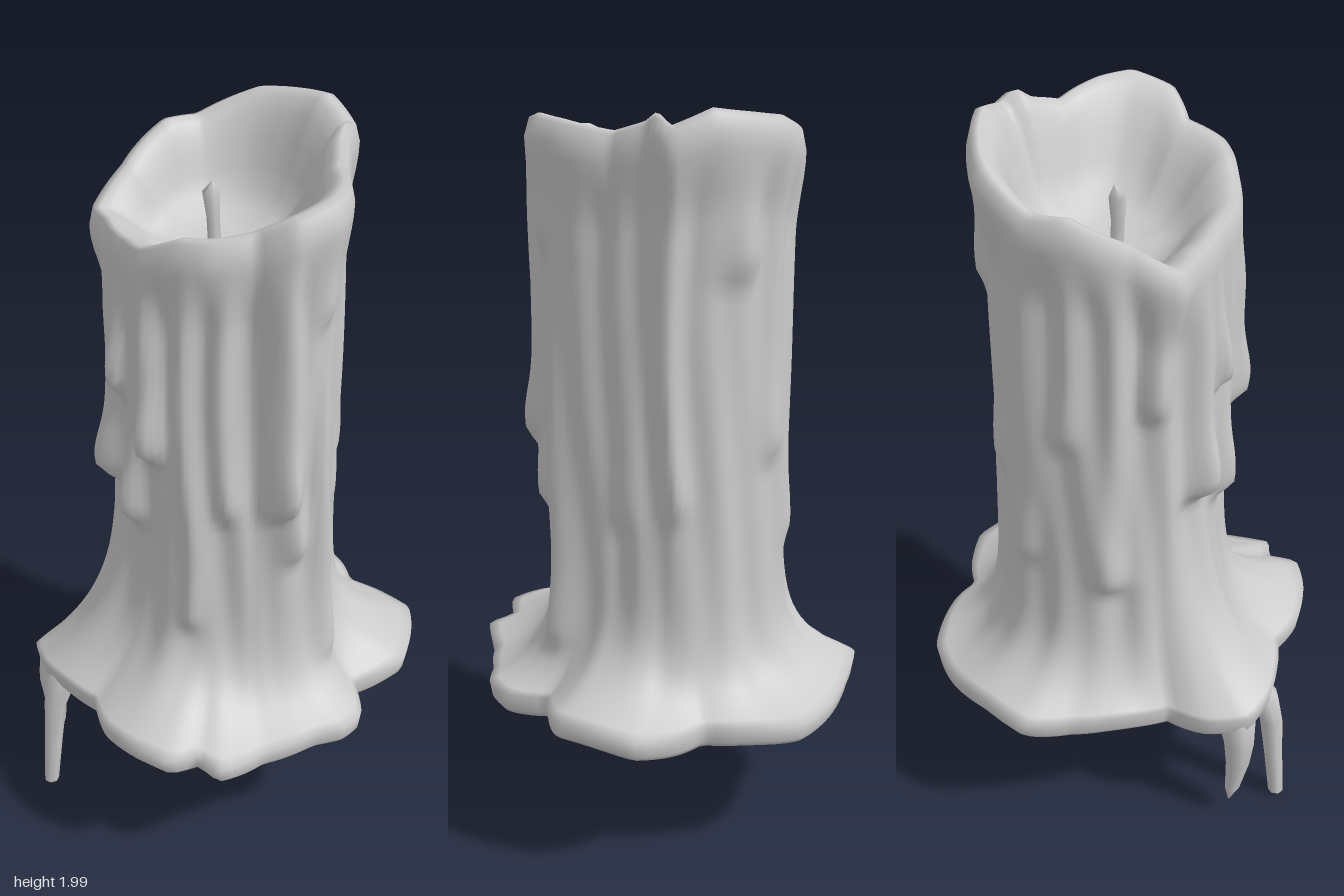
import * as THREE from 'three';

const CZ = -0.03; // z of the candle's axis
const material = new THREE.MeshStandardMaterial({ color: 0xcccccc, side: THREE.DoubleSide });
const lerp = THREE.MathUtils.lerp;
const smooth = THREE.MathUtils.smoothstep;
const TAU = Math.PI * 2;

// Outlines as [x, z] seen from above
const SKIRT = [[0.535, -0.07], [0.48, 0.16], [0.33, 0.22], [0.33, 0.35], [0.28, 0.4], [0.2, 0.415], [0.05, 0.46],
  [-0.08, 0.525], [-0.13, 0.47], [-0.21, 0.5], [-0.3, 0.43], [-0.37, 0.33], [-0.39, 0.22], [-0.47, 0.13],
  [-0.52, 0.05], [-0.54, -0.05], [-0.46, -0.14], [-0.36, -0.18], [-0.28, -0.35], [-0.22, -0.42], [-0.14, -0.52],
  [0, -0.53], [0.13, -0.52], [0.28, -0.46], [0.38, -0.29], [0.39, -0.22], [0.46, -0.17]];
// Top rim as [x, z, height]
const RIM = [[0.345, -0.12, 1.95], [0.3, -0.22, 1.99], [0.22, -0.31, 1.97], [0.13, -0.37, 1.95], [-0.04, -0.37, 1.88],
  [-0.13, -0.33, 1.89], [-0.25, -0.22, 1.82], [-0.335, -0.13, 1.75], [-0.31, -0.05, 1.76], [-0.27, 0.08, 1.77],
  [-0.24, 0.17, 1.79], [-0.15, 0.25, 1.85], [-0.08, 0.285, 1.86], [0.04, 0.28, 1.87], [0.13, 0.315, 1.92],
  [0.24, 0.27, 1.945], [0.28, 0.19, 1.94], [0.29, 0.05, 1.92], [0.31, -0.04, 1.95], [0.33, -0.08, 1.98]];

// Wax runs: [angle in degrees, lower end, half width in degrees, thickness]
const DRIPS = [[69, 1.04, 8, 0.055], [54, 1.58, 13, 0.035], [61, 0.88, 6, 0.035], [48, 0.52, 7, 0.03],
  [138, 1.17, 8, 0.06], [150, 0.93, 8, 0.05], [164, 1.3, 8, 0.06], [176, 1.0, 10, 0.075], [97, 1.02, 6, 0.025],
  [116, 0.66, 6, 0.025], [15, 0.88, 7, 0.015], [-16, 0.93, 6, 0.02], [-45, 1.55, 12, 0.025], [225, 0.75, 8, 0.035],
  [205, 1.3, 8, 0.03], [250, 1.2, 7, 0.025], [272, 0.8, 7, 0.02], [292, 1.05, 7, 0.025]];

// Turns an outline into a function of angle that returns [radius, height]
function polar(points) {
  const p = points.map(([x, z, h = 0]) => [(Math.atan2(z - CZ, x) + TAU) % TAU, Math.hypot(x, z - CZ), h])
    .sort((a, b) => a[0] - b[0]);
  const first = p[0], last = p[p.length - 1];
  p.push([first[0] + TAU, first[1], first[2]]);
  p.unshift([last[0] - TAU, last[1], last[2]]);
  return (a) => {
    let i = 0;
    while (i < p.length - 2 && p[i + 1][0] < a) i++;
    const t = (a - p[i][0]) / (p[i + 1][0] - p[i][0]);
    return [lerp(p[i][1], p[i + 1][1], t), lerp(p[i][2], p[i + 1][2], t)];
  };
}
const skirtAt = polar(SKIRT), rimAt = polar(RIM);

function angleGap(a, b) {
  return Math.atan2(Math.sin(a - b), Math.cos(a - b));
}

// Thickness of the wax runs, each swelling at its lower end
function dripDepth(a, y) {
  let sum = 0;
  for (const [deg, end, width, depth] of DRIPS) {
    const swell = 0.8 + 0.35 * Math.exp(-(((y - end - 0.09) / 0.1) ** 2));
    const wander = 0.04 * Math.sin(6 * y + deg);
    const across = Math.exp(-((angleGap(a + wander, deg * Math.PI / 180) / (width * Math.PI / 180)) ** 2));
    sum = Math.max(sum, depth * swell * across * smooth(y, end - 0.03, end + 0.05));
  }
  return sum;
}

// Radius of the outer wall, flaring into the pool at its foot
function wallRadius(a, y, foot, top) {
  const [skirt] = skirtAt(a), [rim] = rimAt(a);
  const flow = Math.exp(-((angleGap(a, Math.PI) / 0.6) ** 2));
  const below = smooth(top - y, 0, 0.22);
  const flutes = 0.006 * Math.sin(9 * a + 1.5 * y) + 0.005 * Math.sin(17 * a + 2 * Math.sin(3 * y));
  // the shaft is rounder than the rim
  const body = lerp(rim, 0.31, 0.4) - 0.025 - 0.025 * flow + flutes + dripDepth(a, y);
  const shaft = lerp(rim, body, below);
  return lerp(shaft, skirt, Math.exp(-(y - foot) / lerp(0.075, 0.22, flow)));
}

// Surface over rings of points: at(row, column) gives [x, y, z]
function loft(name, rows, cols, at) {
  const pos = [], index = [];
  for (let j = 0; j < rows; j++) {
    for (let i = 0; i < cols; i++) {
      pos.push(...at(j, i));
      if (j === rows - 1) continue;
      const p = j * cols + i, q = j * cols + (i + 1) % cols;
      index.push(p, p + cols, q, q, p + cols, q + cols);
    }
  }
  const g = new THREE.BufferGeometry();
  g.setAttribute('position', new THREE.Float32BufferAttribute(pos, 3));
  g.setIndex(index);
  g.computeVertexNormals();
  const mesh = new THREE.Mesh(g, material);
  mesh.name = name;
  return mesh;
}

// Tapered strand through [x, y, z, radius] rings, listed from bottom to top
function strand(name, rings, sides = 7) {
  return loft(name, rings.length, sides, (j, i) => {
    const [x, y, z, r] = rings[j], a = i / sides * TAU;
    return [x + r * Math.cos(a), y, z + r * Math.sin(a)];
  });
}

// Candle: open underside, pool lip, wall, thick rounded rim and melted hollow
function candleBody() {
  const cols = 144, wallRows = 52;
  const lip = [[0.93, -0.05], [0.96, -0.06], [0.985, -0.045]];
  // [share of the rim radius, share of the drop to the hollow's floor]
  const hollow = [[0.97, 0.03], [0.91, 0], [0.84, 0.05], [0.77, 0.17], [0.7, 0.36], [0.63, 0.58],
    [0.55, 0.78], [0.43, 0.9], [0.25, 0.97], [0.001, 1]];
  const floor = 1.65;
  return loft('candleBody', lip.length + wallRows + hollow.length, cols, (j, i) => {
    const a = i / cols * TAU;
    const [skirt] = skirtAt(a), [rim, height] = rimAt(a);
    const foot = 0.41 + 0.012 * Math.sin(3 * a + 1) + 0.008 * Math.sin(7 * a);
    const top = height - 0.055;
    let r, y, z = CZ;
    if (j < lip.length) {
      r = skirt * lip[j][0];
      y = foot + lip[j][1];
    } else if (j < lip.length + wallRows) {
      const t = (j - lip.length) / (wallRows - 1);
      y = lerp(foot, top, t ** 1.25);
      r = wallRadius(a, y, foot, top);
    } else {
      const [s, drop] = hollow[j - lip.length - wallRows];
      r = lerp(rim, 0.32, 0.6 * drop) * s;
      y = lerp(height, floor, drop);
      z -= 0.04 * drop;
    }
    return [r * Math.cos(a), y, z + r * Math.sin(a)];
  });
}

export function createModel() {
  const group = new THREE.Group();
  group.name = 'meltedCandle';
  group.add(candleBody());
  group.add(strand('wick', [[-0.025, 1.63, -0.05, 0.018], [-0.03, 1.74, -0.05, 0.018],
    [-0.035, 1.81, -0.055, 0.024], [-0.03, 1.84, -0.06, 0.001]], 5));
  // Wax hanging below the pool
  group.add(strand('bluntHangingDrip', [[-0.52, 0, 0.095, 0.001], [-0.52, 0.005, 0.095, 0.021],
    [-0.508, 0.15, 0.09, 0.026], [-0.497, 0.28, 0.085, 0.032], [-0.475, 0.36, 0.07, 0.045],
    [-0.45, 0.4, 0.06, 0.04], [-0.44, 0.42, 0.06, 0.001]]));
  group.add(strand('pointedHangingDrip', [[-0.48, 0.05, -0.06, 0.001], [-0.487, 0.1, -0.055, 0.02],
    [-0.495, 0.2, -0.045, 0.033], [-0.497, 0.28, -0.045, 0.042], [-0.478, 0.36, -0.04, 0.055],
    [-0.46, 0.4, -0.04, 0.05], [-0.44, 0.42, -0.04, 0.001]]));
  return group;
}
